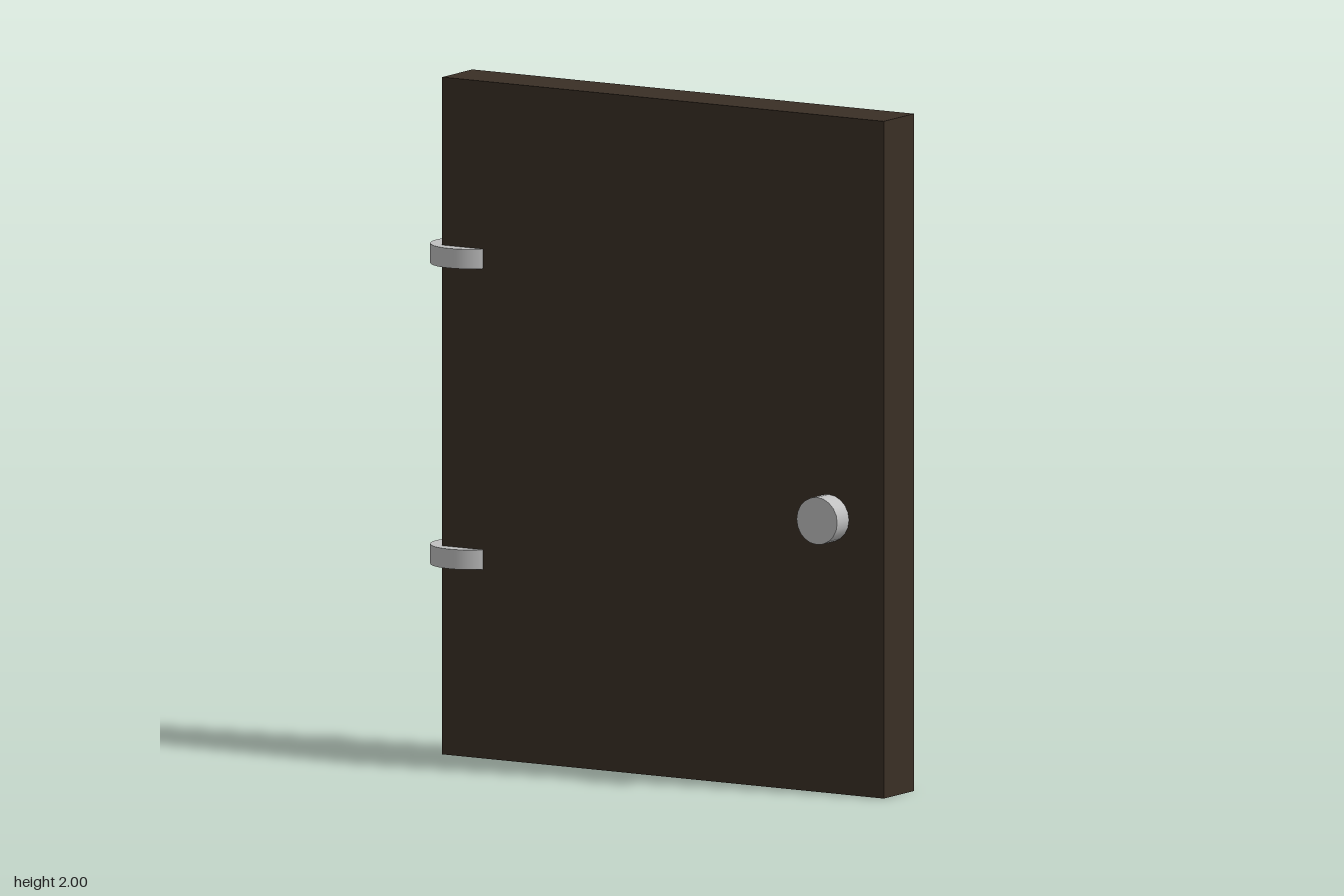
import * as THREE from 'three';

const wood = new THREE.MeshStandardMaterial({ color: 0x3a2f25 });
wood.name = 'darkWood';
const metal = new THREE.MeshStandardMaterial({ color: 0xc0c0c0 });
metal.name = 'lightMetal';

export function createModel() {
  const door = new THREE.Group();
  door.name = 'door';

  function add(name, geometry, material, x, y, z) {
    const mesh = new THREE.Mesh(geometry, material);
    mesh.name = name;
    mesh.position.set(x, y, z);
    door.add(mesh);
    return mesh;
  }

  // Plain slab
  add('doorPanel', new THREE.BoxGeometry(1.522, 2, 0.165), wood, 0.034, 1, -0.014);

  // Disc hinges wrapping the right-hand edge
  const hinge = new THREE.CylinderGeometry(0.118, 0.118, 0.058, 32);
  add('upperHinge', hinge, metal, -0.677, 1.475, -0.007);
  add('lowerHinge', hinge, metal, -0.677, 0.587, -0.007);

  // Knob running through the slab, showing on both faces
  const knob = new THREE.CylinderGeometry(0.07, 0.07, 0.265, 20);
  knob.rotateX(Math.PI / 2);
  add('knob', knob, metal, 0.605, 0.812, 0);

  return door;
}
